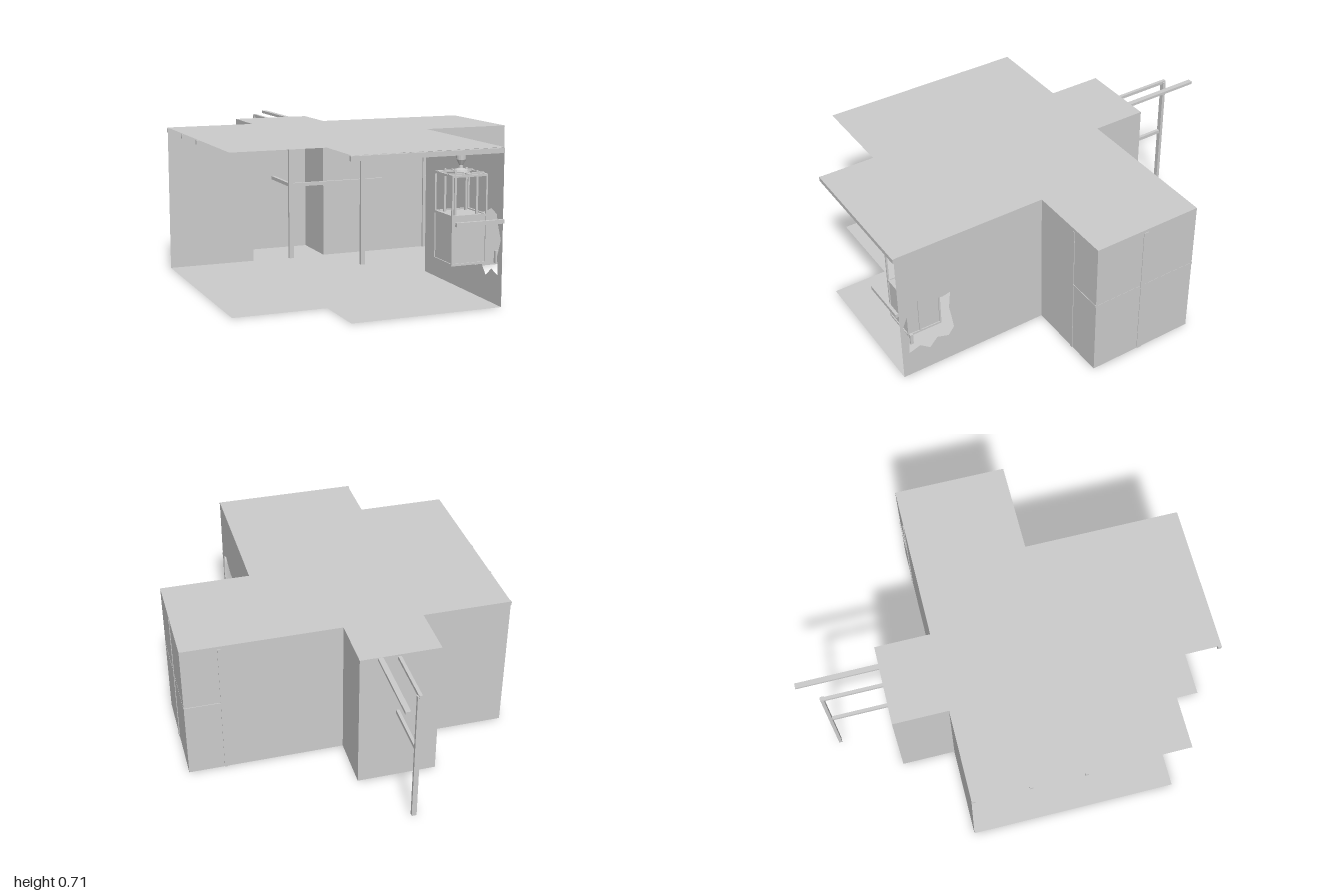
import * as THREE from 'three';

const H = 0.715; // ceiling height
const grey = new THREE.MeshStandardMaterial({ color: 0xcccccc, flatShading: true, side: THREE.DoubleSide });

export function createModel() {
  const root = new THREE.Group();

  const add = (name, geometry, parent = root) => {
    const m = new THREE.Mesh(geometry, grey);
    m.name = name;
    parent.add(m);
    return m;
  };
  // Box given by its two extreme corners
  const bar = (name, x0, x1, y0, y1, z0, z1, parent = root) => {
    const m = add(name, new THREE.BoxGeometry(x1 - x0, y1 - y0, z1 - z0), parent);
    m.position.set((x0 + x1) / 2, (y0 + y1) / 2, (z0 + z1) / 2);
    return m;
  };

  // Floor plan, walled from the back left corner round to the front right one
  const plan = [
    [-0.8, -0.33], [-0.36, -0.33], [-0.36, -0.6], [0.03, -0.6], [0.03, -0.33],
    [0.8, -0.33], [0.8, 0.22], [0.36, 0.22], [0.36, 0.985], [-0.36, 0.985],
    [-0.36, 0.71], [-0.8, 0.71],
  ];
  const planShape = new THREE.Shape(plan.map(([x, z]) => new THREE.Vector2(x, -z)));
  for (const [name, y] of [['floor', 0], ['ceiling', H]]) {
    const slab = add(name, new THREE.ShapeGeometry(planShape));
    slab.rotation.x = -Math.PI / 2;
    slab.position.y = y;
  }

  // Plain walls along the first seven plan edges
  for (let i = 0; i < 7; i++) {
    const [ax, az] = plan[i], [bx, bz] = plan[i + 1];
    const wall = add('wall', new THREE.PlaneGeometry(Math.hypot(bx - ax, bz - az), H));
    wall.position.set((ax + bx) / 2, H / 2, (az + bz) / 2);
    wall.rotation.y = -Math.atan2(bz - az, bx - ax);
  }

  // Wall with the ragged hole, drawn in (-z, y)
  const broken = new THREE.Shape([[-0.985, 0], [-0.22, 0], [-0.22, H], [-0.985, H]]
    .map(([x, y]) => new THREE.Vector2(x, y)));
  const hole = [
    [0.97, 0.3], [0.94, 0.37], [0.93, 0.41], [0.88, 0.43], [0.84, 0.41], [0.76, 0.39],
    [0.72, 0.4], [0.73, 0.31], [0.72, 0.25], [0.71, 0.18], [0.74, 0.14], [0.8, 0.16],
    [0.84, 0.115], [0.89, 0.155], [0.95, 0.135], [0.94, 0.22],
  ];
  broken.holes.push(new THREE.Path(hole.map(([z, y]) => new THREE.Vector2(-z, y))));
  const brokenWall = add('brokenWall', new THREE.ShapeGeometry(broken));
  brokenWall.rotation.y = Math.PI / 2;
  brokenWall.position.x = 0.36;

  // Ceiling beams running across and lengthwise
  for (const z of [-0.32, -0.05, 0.21]) bar('crossBeam', -0.805, 0.8, 0.692, 0.712, z - 0.008, z + 0.008);
  bar('frontHeader', -0.365, 0.36, 0.69, 0.712, 0.972, 0.99);
  bar('longBeam', -0.166, -0.15, 0.69, 0.706, -0.9, 0.7);
  bar('longBeam', -0.08, -0.055, 0.7, 0.714, -1, 0.97);
  bar('longBeam', 0.122, 0.14, 0.692, 0.712, -0.32, 0.97);

  // Upright posts and mid-height rails
  for (const [x, z] of [[-0.156, -0.89], [-0.156, -0.32], [0.131, -0.04]]) {
    bar('post', x - 0.012, x + 0.012, 0, 0.7, z - 0.008, z + 0.008);
  }
  bar('rail', -0.166, -0.15, 0.38, 0.398, -0.89, -0.32);
  bar('rail', -0.15, 0.36, 0.38, 0.398, -0.325, -0.31);
  bar('frontRail', 0.125, 0.36, 0.38, 0.398, 0.985, 1);
  bar('sidePost', 0.792, 0.803, 0, 0.7, -0.055, -0.03);
  bar('sideRail', 0.79, 0.801, 0.384, 0.394, -0.33, 0.22);
  for (const [z0, z1] of [[-0.334, -0.32], [0.21, 0.223]]) {
    bar('wingPost', 0.61, 0.625, 0, 0.7, z0, z1);
    bar('wingRail', 0.61, 0.8, 0.384, 0.394, z0, z1);
  }
  bar('wallLatch', 0.352, 0.366, 0.19, 0.245, 0.925, 0.94);

  // Hanging lantern: closed box below, open frame above, turned finial
  const lantern = new THREE.Group();
  lantern.name = 'lantern';
  root.add(lantern);
  const x0 = 0.14, x1 = 0.315, z0 = 0.75, z1 = 0.925;
  bar('lanternBox', x0 + 0.005, x1 - 0.005, 0.195, 0.41, z0 + 0.005, z1 - 0.005, lantern);
  for (const y of [0.19, 0.405, 0.583]) {
    for (const z of [z0, z1 - 0.01]) bar('lanternEdge', x0, x1, y, y + 0.01, z, z + 0.01, lantern);
    for (const x of [x0, x1 - 0.01]) bar('lanternEdge', x, x + 0.01, y, y + 0.01, z0, z1, lantern);
  }
  for (const x of [x0, x1 - 0.008]) {
    for (const z of [z0, z1 - 0.008]) bar('lanternCorner', x, x + 0.008, 0.19, 0.59, z, z + 0.008, lantern);
  }
  for (const x of [0.175, 0.282]) {
    for (const z of [0.785, 0.885]) bar('lanternRod', x - 0.005, x + 0.005, 0.41, 0.605, z - 0.005, z + 0.005, lantern);
  }
  for (const z of [0.785, 0.885]) bar('lanternCrossbar', x0, x1, 0.588, 0.596, z - 0.005, z + 0.005, lantern);
  bar('lanternSpine', 0.22, 0.234, 0.588, 0.596, z0, z1, lantern);
  const ribZ = 0.86;
  bar('lanternRib', x1 - 0.006, x1, 0.195, 0.405, ribZ - 0.005, ribZ + 0.005, lantern);
  const profile = [[0, 0.596], [0.035, 0.596], [0.03, 0.606], [0.01, 0.612], [0.008, 0.625],
    [0.022, 0.65], [0.022, 0.67], [0.008, 0.685], [0.005, 0.7], [0, 0.7]];
  const finial = add('lanternFinial',
    new THREE.LatheGeometry(profile.map(([r, y]) => new THREE.Vector2(r, y)), 12), lantern);
  finial.position.set(0.227, 0, 0.837);

  return root;
}
